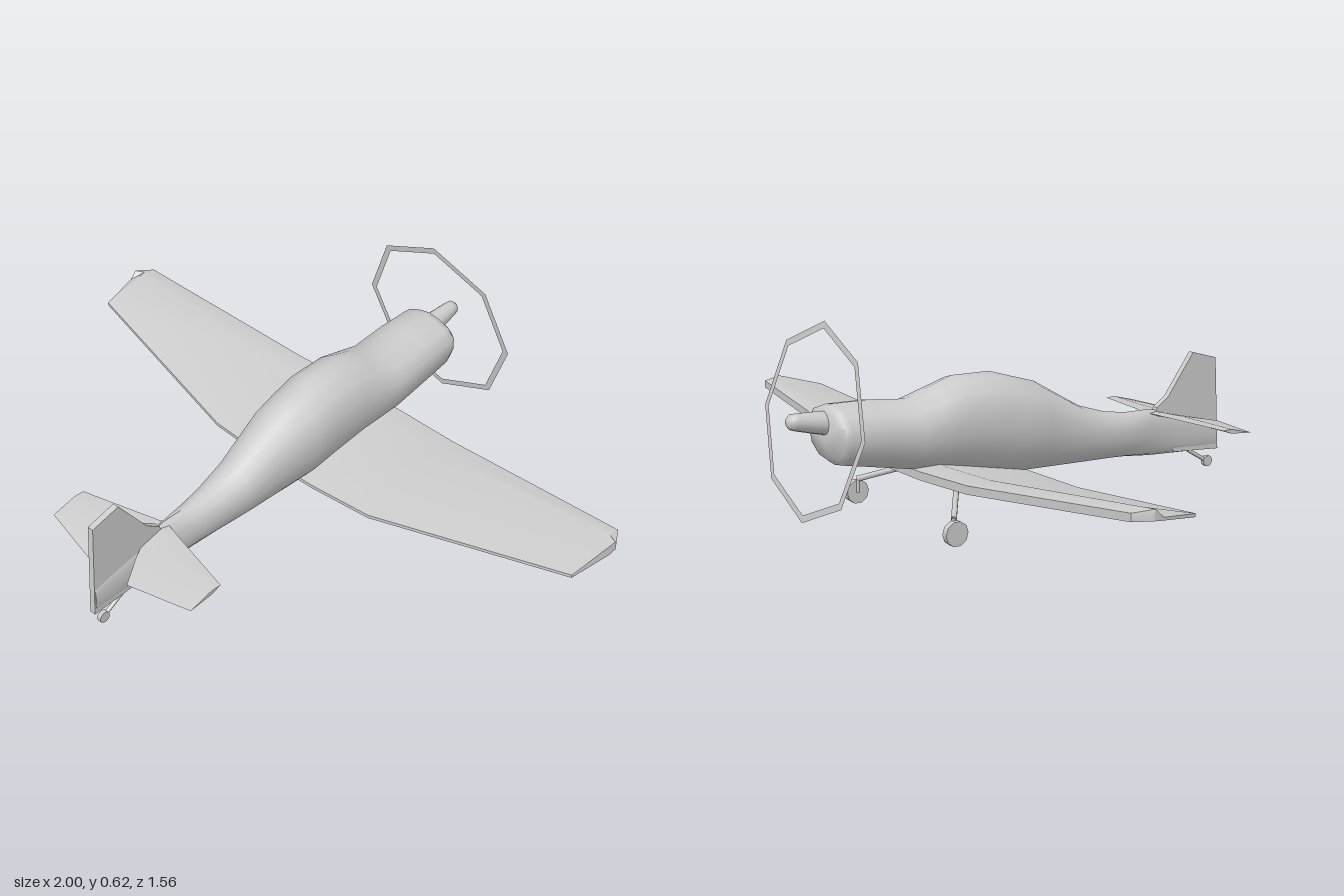
import * as THREE from 'three';
import { toCreasedNormals } from 'three/addons/utils/BufferGeometryUtils.js';

const material = new THREE.MeshStandardMaterial({ color: 0xcccccc, side: THREE.DoubleSide });

function part(name, geometry, parent) {
  const mesh = new THREE.Mesh(geometry, material);
  mesh.name = name;
  parent.add(mesh);
  return mesh;
}

// Skin a list of equal-length rings of [x, y, z]; rings run counterclockwise seen from the last end.
function loft(rings, crease) {
  const n = rings[0].length, last = (rings.length - 1) * n, index = [];
  for (let i = 0; i < rings.length - 1; i++) {
    for (let j = 0; j < n; j++) {
      const a = i * n + j, d = i * n + (j + 1) % n, b = a + n, c = d + n;
      index.push(a, d, b, b, d, c);
    }
  }
  for (let k = 1; k < n - 1; k++) {
    index.push(0, k + 1, k, last, last + k, last + k + 1);
  }
  const geometry = new THREE.BufferGeometry();
  geometry.setAttribute('position', new THREE.Float32BufferAttribute(rings.flat(2), 3));
  geometry.setIndex(index);
  return toCreasedNormals(geometry, crease);
}

// Stations for one half of a wing, mirrored into a full span from -x to +x.
function fullSpan(stations) {
  return [...stations.map(([x, ...rest]) => [-x, ...rest]).reverse(), ...stations];
}

// Straight round rod between two points.
function rod(from, to, radius) {
  const path = new THREE.LineCurve3(new THREE.Vector3(...from), new THREE.Vector3(...to));
  return new THREE.TubeGeometry(path, 1, radius, 6);
}

function wheel(radius, width) {
  return toCreasedNormals(new THREE.CylinderGeometry(radius, radius, width, 10).rotateZ(Math.PI / 2), 0.7);
}

export function createModel() {
  const plane = new THREE.Group();
  plane.name = 'airplane';

  // Fuselage stations: z, half width, bottom, top (nose towards -z)
  const stations = [
    [-0.668, 0.085, 0.28, 0.365], [-0.655, 0.105, 0.225, 0.383], [-0.635, 0.109, 0.21, 0.386],
    [-0.52, 0.113, 0.187, 0.383], [-0.4, 0.115, 0.163, 0.37], [-0.32, 0.113, 0.148, 0.395],
    [-0.24, 0.111, 0.134, 0.42], [-0.11, 0.111, 0.113, 0.417], [-0.03, 0.109, 0.1, 0.392],
    [0.05, 0.1, 0.097, 0.368], [0.22, 0.074, 0.092, 0.27], [0.32, 0.058, 0.088, 0.238],
    [0.4, 0.046, 0.083, 0.225], [0.5, 0.027, 0.072, 0.222], [0.6, 0.015, 0.066, 0.2],
    [0.775, 0.013, 0.056, 0.158],
  ];
  const half = [[0.5, 0.05], [0.88, 0.22], [1, 0.45], [0.99, 0.68], [0.75, 0.86], [0.35, 0.96]];
  const section = [[0, 0], ...half, [0, 1], ...half.map(([x, y]) => [-x, y]).reverse()];
  part('fuselage', loft(stations.map(([z, w, bottom, top]) =>
    section.map(([x, y]) => [x * w, bottom + y * (top - bottom), z])), 0.9), plane);

  // Main wing stations: x, leading z, leading y, trailing z, trailing y, thickness
  const wing = fullSpan([
    [0.1, -0.415, 0.152, -0.01, 0.102, 0.036],
    [0.32, -0.402, 0.158, -0.02, 0.108, 0.036],
    [0.97, -0.35, 0.227, -0.14, 0.205, 0.033],
    [1, -0.3, 0.228, -0.27, 0.225, 0.028],
  ]);
  part('wing', loft(wing.map(([x, z0, y0, z1, y1, t]) => [
    [x, y0, z0], [x, y0 + t * 0.7, z0],
    [x, y0 + (y1 - y0) * 0.2 + t * 1.1, z0 + (z1 - z0) * 0.2],
    [x, y1 + t * 0.3, z1], [x, y1, z1],
  ]), 0.5), plane);

  // Tailplane, thin and tilted nose up, with a notch for the rudder
  const tail = fullSpan([[0.01, 0.49, 0.6], [0.025, 0.495, 0.63], [0.08, 0.508, 0.717], [0.29, 0.555, 0.67]]);
  const tailY = z => 0.17 + (0.72 - z) * 0.18;
  part('tailplane', loft(tail.map(([x, z0, z1]) => {
    const zm = z0 + (z1 - z0) * 0.3;
    return [[x, tailY(zm) - 0.007, zm], [x, tailY(z0), z0], [x, tailY(zm) + 0.007, zm], [x, tailY(z1), z1]];
  }), 0.5), plane);

  // Upright fin, drawn in (z, y)
  const fin = new THREE.Shape([
    [0.782, 0.056], [0.765, 0.36], [0.67, 0.387], [0.57, 0.255], [0.525, 0.225], [0.5, 0.16], [0.6, 0.07],
  ].map(p => new THREE.Vector2(...p)));
  part('fin', new THREE.ExtrudeGeometry(fin, { depth: 0.02, bevelEnabled: false })
    .rotateY(-Math.PI / 2).translate(0.01, 0, 0), plane);

  // Propeller: tilted spinner and eight-sided ring
  const propeller = new THREE.Group();
  propeller.name = 'propeller';
  propeller.position.set(0, 0.34, -0.7);
  propeller.rotation.x = 0.152;
  plane.add(propeller);
  const ring = part('propellerRing', new THREE.RingGeometry(0.264, 0.285, 8), propeller);
  ring.clone().position.z = 0.004;
  const profile = [[0.035, -0.05], [0.031, 0], [0.025, 0.055], [0.022, 0.072], [0.012, 0.081], [0, 0.083]];
  part('spinner', new THREE.LatheGeometry(profile.map(p => new THREE.Vector2(...p)), 12)
    .rotateX(-Math.PI / 2), propeller);

  // Main landing gear
  for (const [side, s] of [['left', 1], ['right', -1]]) {
    part(side + 'GearLeg', rod([s * 0.1, 0.145, -0.29], [s * 0.265, 0.077, -0.41], 0.009), plane);
    part(side + 'GearFork', rod([s * 0.262, 0.08, -0.41], [s * 0.262, 0.035, -0.41], 0.006), plane);
    part(side + 'Wheel', wheel(0.037, 0.02), plane).position.set(s * 0.272, 0.037, -0.41);
  }

  // Tail wheel
  part('tailWheelLeg', rod([0, 0.068, 0.66], [0, 0.02, 0.74], 0.007), plane);
  part('tailWheel', wheel(0.018, 0.014), plane).position.set(0, 0.018, 0.745);

  return plane;
}
